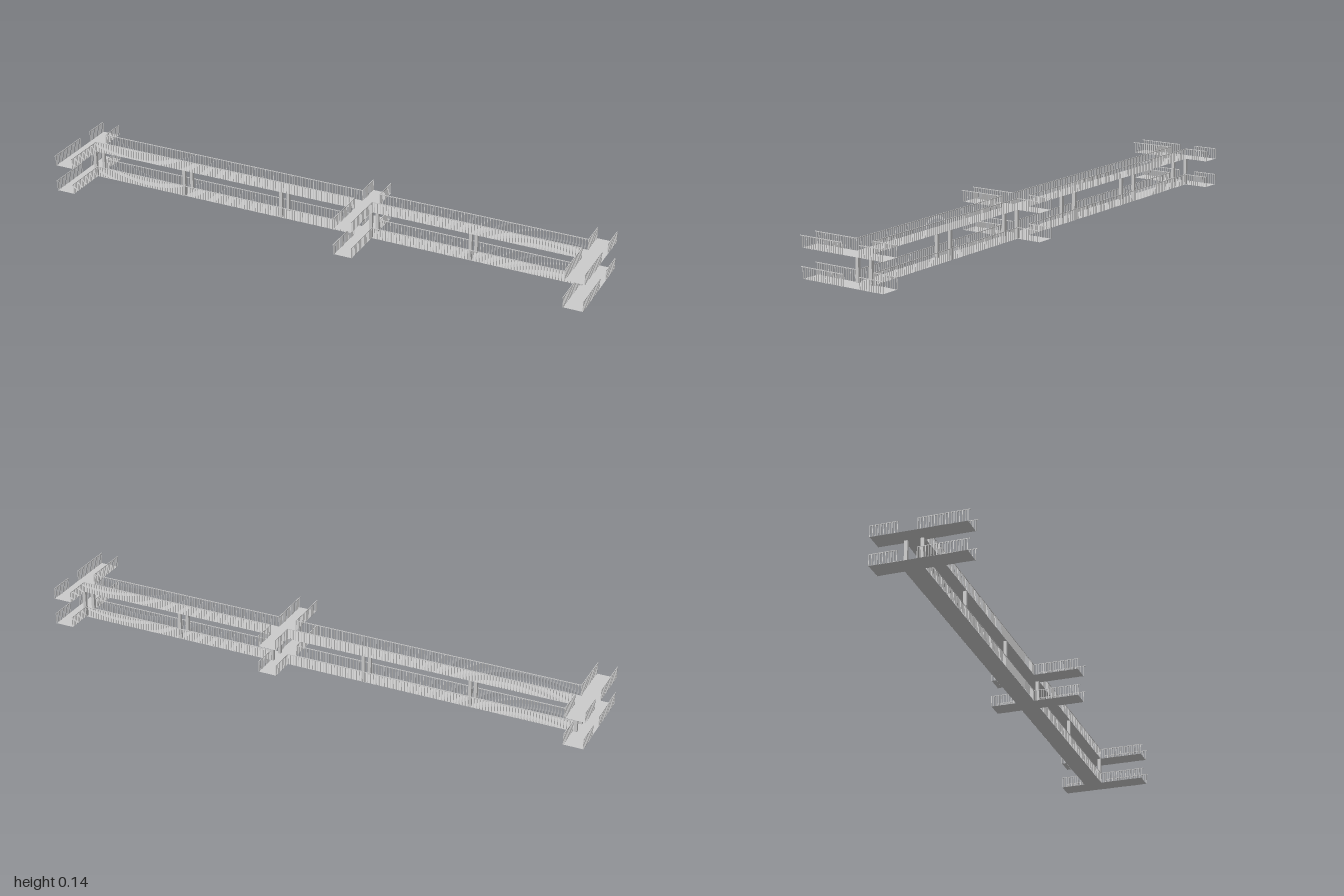
import * as THREE from 'three';
import { mergeGeometries } from 'three/addons/utils/BufferGeometryUtils.js';

const grey = new THREE.MeshStandardMaterial({ color: 0xcccccc, flatShading: true });
const deckMat = new THREE.MeshStandardMaterial({ color: 0xcccccc, side: THREE.DoubleSide });

const LEVELS = [0, 0.1];          // the two deck heights
const RAIL_H = 0.04;              // railing height above a deck
const BAR = 0.0022;               // thickness of posts and handrails
const Z_BACK = -0.0715, Z_FRONT = -0.005;     // edges of the long walkway
const ARM_BACK = -0.163, ARM_FRONT = 0.157;   // ends of the cross walkways
const ARMS = [[-0.999, -0.931], [0.11, 0.176], [0.931, 0.999]];

function box(w, h, d, x, y, z) {
  return new THREE.BoxGeometry(w, h, d).translate(x, y, z);
}

// Flat deck panel between two corners
function deck(x0, x1, z0, z1, y) {
  return new THREE.PlaneGeometry(x1 - x0, z1 - z0)
    .rotateX(-Math.PI / 2)
    .translate((x0 + x1) / 2, y, (z0 + z1) / 2);
}

// Straight railing along x or z: evenly spaced posts under one handrail
function railing(axis, from, to, across, y, spacing, overhang = 0) {
  const parts = [];
  const put = (len, h, at, cy) => parts.push(axis === 'x'
    ? box(len, h, BAR, at, cy, across)
    : box(BAR, h, len, across, cy, at));
  const count = Math.round((to - from) / spacing);
  for (let i = 0; i <= count; i++) {
    put(BAR, RAIL_H, from + (to - from) * i / count, y + RAIL_H / 2);
  }
  put(to + overhang - from + BAR, BAR, (from + to + overhang) / 2, y + RAIL_H - BAR / 2);
  return parts;
}

export function createModel() {
  const group = new THREE.Group();
  const add = (name, parts, material) => {
    const mesh = new THREE.Mesh(mergeGeometries(parts), material);
    mesh.name = name;
    group.add(mesh);
  };

  LEVELS.forEach((y, level) => {
    const prefix = level ? 'upper' : 'lower';

    // Long walkway pieces between the arms, and the cross walkways
    const decks = ARMS.map(([a, b]) => deck(a, b, ARM_BACK, ARM_FRONT, y));
    for (let i = 0; i < 2; i++) {
      decks.push(deck(ARMS[i][1], ARMS[i + 1][0], Z_BACK, Z_FRONT, y));
    }
    add(prefix + 'Deck', decks, deckMat);

    // Railings on both sides of the long walkway
    const longRails = [];
    for (let i = 0; i < 2; i++) {
      for (const z of [Z_BACK, Z_FRONT]) {
        longRails.push(...railing('x', ARMS[i][1], ARMS[i + 1][0], z, y, 0.0105));
      }
    }
    add(prefix + 'LongRailings', longRails, grey);

    // Railings on both sides of each cross walkway, open at the crossing
    const crossRails = [];
    for (const x of ARMS.flat()) {
      crossRails.push(...railing('z', ARM_BACK, Z_BACK, x, y, 0.009));
      crossRails.push(...railing('z', Z_FRONT, ARM_FRONT, x, y, 0.009, 0.007));
    }
    add(prefix + 'CrossRailings', crossRails, grey);
  });

  // Pairs of columns carrying the upper deck
  const columns = [];
  for (const x of [-0.94, -0.567, -0.176, 0.171, 0.54, 0.935]) {
    for (const z of [-0.0655, -0.0115]) columns.push(box(0.011, 0.1, 0.011, x, 0.05, z));
  }
  add('columns', columns, grey);

  return group;
}
